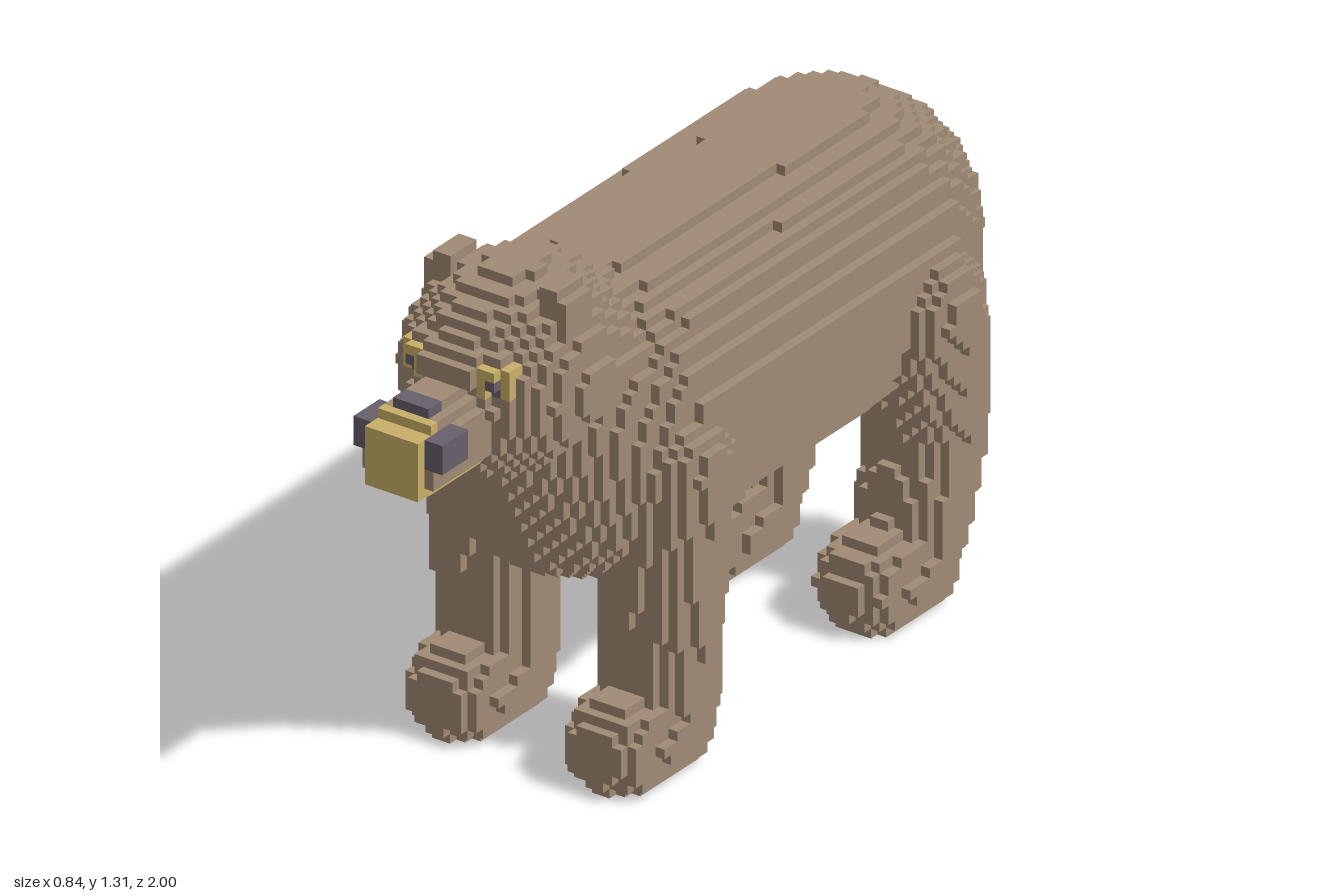
import * as THREE from 'three';

const V = 2 / 81; // edge of one cube
const NX = 18, NY = 54, NZ = 42;

const fur = new THREE.MeshStandardMaterial({ color: 0xa08a74 });
fur.name = 'brown fur';
const tan = new THREE.MeshStandardMaterial({ color: 0xc9b068 });
tan.name = 'tan';
const dark = new THREE.MeshStandardMaterial({ color: 0x685f6c });
dark.name = 'dark grey';

// Tapered capsule between two points [x, y, z, radius]; sx squeezes x, p squares it off
const limb = (a, b, sx = 1, p = 2) => (x, y, z) => {
  const d = [b[0] - a[0], b[1] - a[1], b[2] - a[2]];
  const len = d[0] * d[0] + d[1] * d[1] + d[2] * d[2];
  let t = ((x - a[0]) * d[0] + (y - a[1]) * d[1] + (z - a[2]) * d[2]) / len;
  t = Math.min(1, Math.max(0, t));
  const r = a[3] + (b[3] - a[3]) * t;
  const q = Math.abs((x - a[0] - d[0] * t) / sx) ** p
    + Math.abs(y - a[1] - d[1] * t) ** p + Math.abs(z - a[2] - d[2] * t) ** p;
  return q <= r ** p;
};
const box = (x0, x1, y0, y1, z0, z1) => (x, y, z) =>
  x > x0 && x < x1 && y > y0 && y < y1 && z > z0 && z < z1;
const ball = (c, r) => (x, y, z) =>
  ((x - c[0]) / r[0]) ** 2 + ((y - c[1]) / r[1]) ** 2 + ((z - c[2]) / r[2]) ** 2 <= 1;
const any = (...shapes) => (x, y, z) => shapes.some((s) => s(x, y, z));
const both = (a, b) => (x, y, z) => a(x, y, z) && b(x, y, z);

const head = any(
  limb([0, 1.05, 0.52, 0.255], [0, 1.05, 0.54, 0.255], 0.95),
  ball([0, 1.13, 0.66], [0.17, 0.09, 0.145]), // brow
);
const muzzle = any(
  box(-1, 0.1, 0.94, 1.065, 0.6, 0.97),
  box(-1, 0.076, 0.914, 1.065, 0.6, 1),
  box(-1, 0.076, 0.914, 1.09, 0.6, 0.95),
  box(-1, 0.05, 0.889, 1.115, 0.72, 0.92),
);

// Parts in order of priority; shapes are described for x > 0 and mirrored
const parts = [
  { name: 'nose', mat: dark, test: box(-1, 0.05, 1.085, 1.115, 0.87, 0.92) },
  { name: 'muzzleSide', mat: dark, paired: true, test: box(0.074, 0.125, 0.985, 1.065, 0.87, 0.97) },
  { name: 'pupil', mat: dark, paired: true, test: both(head, box(0.098, 0.125, 1.085, 1.14, 0.7, 1)) },
  { name: 'eyePatch', mat: tan, paired: true, test: both(head, box(0.074, 0.15, 1.085, 1.164, 0.7, 1)) },
  { name: 'muzzleFront', mat: tan, test: both(muzzle, box(-1, 0.076, 0, 2, 0.92, 2)) },
  { name: 'chin', mat: tan, test: both(muzzle, box(-1, 0.1, 0, 0.94, 0.7, 2)) },
  { name: 'muzzle', mat: fur, test: muzzle },
  { name: 'ear', mat: fur, paired: true, test: any(
    box(0.122, 0.175, 1.15, 1.31, 0.5, 0.6), box(0.122, 0.198, 1.15, 1.285, 0.5, 0.6)) },
  { name: 'head', mat: fur, test: head },
  { name: 'frontLeg', mat: fur, paired: true, test: any(
    limb([0.222, 0.14, 0.285, 0.125], [0.25, 0.78, 0.29, 0.145]),
    limb([0.222, 0.107, 0.29, 0.115], [0.222, 0.107, 0.425, 0.112], 1, 2.4)) },
  { name: 'hindLeg', mat: fur, paired: true, test: any(
    limb([0.255, 0.78, -0.63, 0.165], [0.225, 0.43, -0.735, 0.132]),
    limb([0.225, 0.43, -0.735, 0.132], [0.222, 0.18, -0.68, 0.122]),
    limb([0.222, 0.107, -0.64, 0.115], [0.222, 0.107, -0.525, 0.112], 1, 2.4)) },
  { name: 'neckAndChest', mat: fur, test: limb([0, 0.835, 0.28, 0.385], [0, 1.05, 0.53, 0.25], 0.91) },
  { name: 'trunk', mat: fur, test: limb([0, 0.84, 0.2, 0.37], [0, 0.845, -0.63, 0.368], 0.93, 2.2) },
];

export function createModel() {
  const group = new THREE.Group();
  const cells = new Map();
  const key = (i, j, k) => ((i + 50) * 100 + j + 10) * 200 + k + 100;

  // Fill the grid: each cube belongs to the first part that contains it
  for (let i = -NX; i < NX; i++)
    for (let j = 0; j < NY; j++)
      for (let k = -NZ; k <= NZ; k++) {
        const x = Math.abs(i + 0.5) * V;
        const part = parts.find((p) => p.test(x, (j + 0.5) * V, k * V));
        if (!part) continue;
        const side = i >= 0 ? 'left' : 'right';
        const name = part.paired ? side + part.name[0].toUpperCase() + part.name.slice(1) : part.name;
        cells.set(key(i, j, k), { name, mat: part.mat, at: [i, j, k] });
      }

  // Keep only the cube faces that touch empty space
  const skins = new Map();
  for (const { name, mat, at } of cells.values()) {
    if (!skins.has(name)) skins.set(name, { mat, pos: [] });
    const { pos } = skins.get(name);
    for (let axis = 0; axis < 3; axis++)
      for (const sign of [-1, 1]) {
        const next = [...at];
        next[axis] += sign;
        if (cells.has(key(...next))) continue;
        const u = (axis + 1) % 3, w = (axis + 2) % 3;
        const corner = (a, b) => {
          const c = [...at];
          c[axis] += sign > 0 ? 1 : 0;
          c[u] += a;
          c[w] += b;
          return [c[0] * V, c[1] * V, (c[2] - 0.5) * V];
        };
        const q = [corner(0, 0), corner(1, 0), corner(1, 1), corner(0, 1)];
        if (sign < 0) q.reverse();
        for (const n of [0, 1, 2, 0, 2, 3]) pos.push(...q[n]);
      }
  }

  for (const [name, { mat, pos }] of skins) {
    if (!pos.length) continue;
    const geo = new THREE.BufferGeometry();
    geo.setAttribute('position', new THREE.Float32BufferAttribute(pos, 3));
    geo.computeVertexNormals();
    const mesh = new THREE.Mesh(geo, mat);
    mesh.name = name;
    group.add(mesh);
  }
  return group;
}
